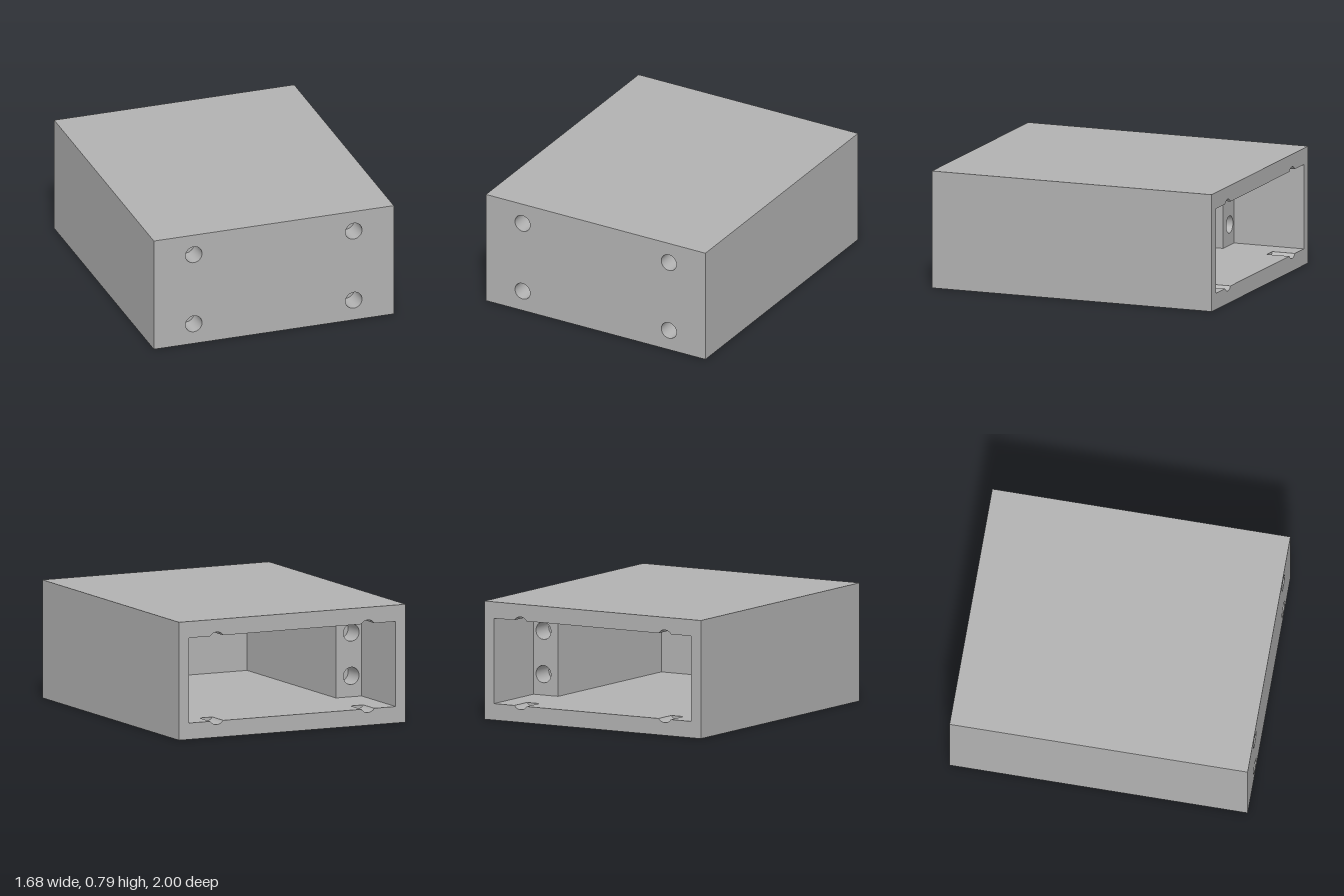
import * as THREE from 'three';
import { toCreasedNormals } from 'three/addons/utils/BufferGeometryUtils.js';

const W = 0.84, H = 0.79;               // outer half width, height
const IX = 0.766, FLOOR = 0.11, CEIL = 0.68; // cavity half width, floor and ceiling
const BX = 0.576;                       // inner side of the corner blocks
const R = 0.058, DEPTH = 0.16;          // screw holes
const BLOCK_Z = -0.5, END_Z = 0.8;
const HOLE_X = 0.56, HOLE_Y = [0.143, 0.647];

const rect = (x0, y0, x1, y1) => [[x0, y0], [x1, y0], [x1, y1], [x0, y1]].map(p => new THREE.Vector2(...p));

function arc(cx, cy, from, to, n) {
  return Array.from({ length: n + 1 }, (_, i) => {
    const a = from + (to - from) * i / n;
    return new THREE.Vector2(cx + R * Math.cos(a), cy + R * Math.sin(a));
  });
}
const circle = (x, y) => arc(x, y, 0, Math.PI * 2, 32).slice(0, -1);

export function createModel() {
  const model = new THREE.Group();
  const grey = new THREE.MeshStandardMaterial({ color: 0xb2b2b2 });
  grey.name = 'plain grey';

  function add(name, geometry) {
    const mesh = new THREE.Mesh(geometry, grey);
    mesh.name = name;
    model.add(mesh);
  }

  // Walls swept along z from a counter-clockwise outline; inward turns them to face inside
  function walls(name, pts, z0, z1, inward) {
    const pos = [], idx = [], n = pts.length;
    for (const p of pts) pos.push(p.x, p.y, z0, p.x, p.y, z1);
    for (let i = 0; i < n; i++) {
      const a = 2 * i, b = 2 * ((i + 1) % n);
      idx.push(a, b, b + 1, a, b + 1, a + 1);
    }
    if (inward) idx.reverse();
    const g = new THREE.BufferGeometry();
    g.setAttribute('position', new THREE.Float32BufferAttribute(pos, 3));
    g.setIndex(idx);
    add(name, toCreasedNormals(g, 0.5));
  }

  // Flat face at z, facing front or back
  function face(name, pts, z, back, holes = []) {
    const shape = new THREE.Shape(pts);
    shape.holes = holes.map(h => new THREE.Path(h));
    const g = new THREE.ShapeGeometry(shape);
    if (back) g.setIndex(Array.from(g.index.array).reverse());
    g.translate(0, 0, z);
    g.computeVertexNormals();
    add(name, g);
  }

  // Outer shell
  const outer = rect(-W, 0, W, H);
  walls('outerShell', outer, -1, 1, false);

  // Front panel with four blind holes
  const frontHoles = [-1, 1].flatMap(s => HOLE_Y.map(y => circle(s * HOLE_X, y)));
  face('frontPanel', outer, 1, false, frontHoles);
  for (const h of frontHoles) {
    walls('frontHole', h, 1 - DEPTH, 1, true);
    face('frontHoleEnd', h, 1 - DEPTH, false);
  }

  // Rear opening, notched by the screw grooves
  const a = Math.asin((HOLE_Y[0] - FLOOR) / R);
  const low = s => arc(s * HOLE_X, HOLE_Y[0], Math.PI + a, 2 * Math.PI - a, 12);
  const high = s => arc(s * HOLE_X, HOLE_Y[1], a, Math.PI - a, 12);
  const corners = rect(-IX, FLOOR, IX, CEIL);
  const notched = [
    corners[0], ...low(-1), ...low(1), corners[1],
    corners[2], ...high(1), ...high(-1), corners[3],
  ];
  face('rearRim', outer, -1, true, [notched]);
  walls('notchedOpening', notched, -1, -1 + DEPTH, true);
  for (const s of [-1, 1]) {
    face('grooveEnd', low(s), -1 + DEPTH, true);
    face('grooveEnd', high(s), -1 + DEPTH, true);
  }

  // Cavity, narrowed by the side blocks further in
  const narrow = rect(-BX, FLOOR, BX, CEIL);
  walls('cavityWalls', corners, -1 + DEPTH, BLOCK_Z, true);
  walls('innerCavityWalls', narrow, BLOCK_Z, END_Z, true);
  face('cavityEnd', narrow, END_Z, true);

  // Side block faces with their blind holes
  for (const s of [-1, 1]) {
    const holes = [0.25, 0.54].map(y => circle(s * 0.69, y));
    const block = s > 0 ? rect(BX, FLOOR, IX, CEIL) : rect(-IX, FLOOR, -BX, CEIL);
    face('sideBlock', block, BLOCK_Z, true, holes);
    for (const h of holes) {
      walls('blockHole', h, BLOCK_Z, BLOCK_Z + DEPTH, true);
      face('blockHoleEnd', h, BLOCK_Z + DEPTH, true);
    }
  }
  return model;
}
